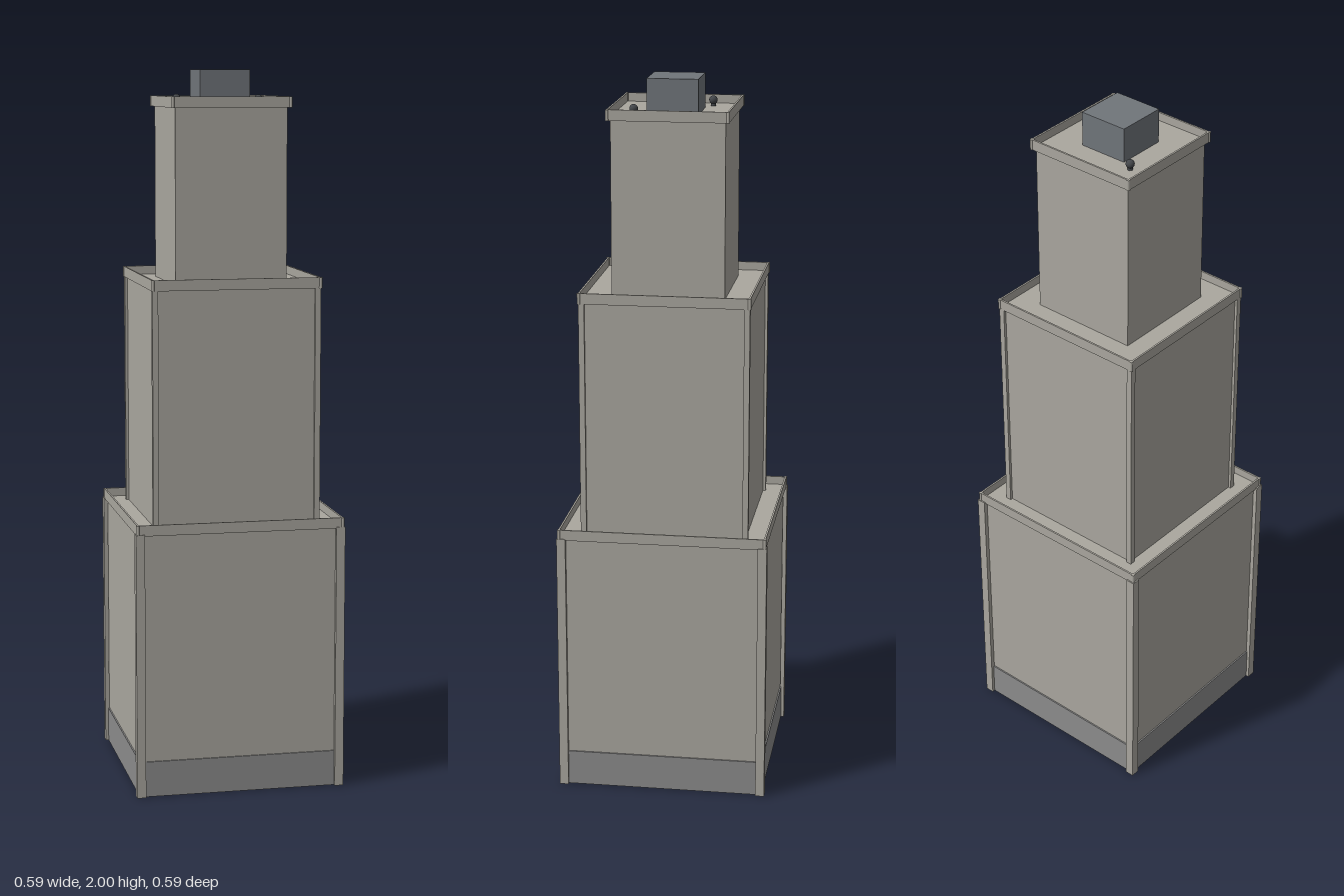
import * as THREE from 'three';

const paint = (color) => new THREE.MeshStandardMaterial({ color });

export function createModel() {
  const model = new THREE.Group();
  const stone = paint(0xaaa79f);
  const plinthGrey = paint(0x8c8c8c);
  const metal = paint(0x70757a);
  const dark = paint(0x45484c);

  function add(parent, name, geometry, material, x = 0, y = 0, z = 0) {
    const mesh = new THREE.Mesh(geometry, material);
    mesh.name = name;
    mesh.position.set(x, y, z);
    parent.add(mesh);
    return mesh;
  }

  // Box given by half-width and its bottom and top heights
  function block(parent, name, half, y0, y1, material) {
    return add(parent, name, new THREE.BoxGeometry(half * 2, y1 - y0, half * 2), material, 0, (y0 + y1) / 2, 0);
  }

  const corners = [[1, 1], [1, -1], [-1, -1], [-1, 1]];

  // L-shaped corner trim with its outer corner at the origin, extruded upward
  function cornerTrim(width, depth, height) {
    const shape = new THREE.Shape([
      [0, 0], [-width, 0], [-width, -depth], [-depth, -depth], [-depth, -width], [0, -width],
    ].map(([x, y]) => new THREE.Vector2(x, y)));
    const geometry = new THREE.ExtrudeGeometry(shape, { depth: height, bevelEnabled: false });
    return geometry.rotateX(-Math.PI / 2);
  }

  // Raised square rim: a ring with a small round post in each corner
  function parapet(parent, half, y0, height) {
    const square = (h) => [[-h, -h], [h, -h], [h, h], [-h, h]].map(([x, y]) => new THREE.Vector2(x, y));
    const shape = new THREE.Shape(square(half));
    shape.holes.push(new THREE.Path(square(half - 0.005)));
    const ring = new THREE.ExtrudeGeometry(shape, { depth: height, bevelEnabled: false });
    add(parent, 'parapet', ring.rotateX(-Math.PI / 2), stone, 0, y0, 0);
    for (const [sx, sz] of corners) {
      const c = half - 0.0025;
      add(parent, 'parapetCorner', new THREE.CylinderGeometry(0.005, 0.005, height, 12), stone,
        sx * c, y0 + height / 2, sz * c);
    }
  }

  // Stepped tiers, each with walls, roof slab, parapet and optional corner trim
  const tiers = [
    { name: 'lowerTier', y0: 0, y1: 0.74, body: 0.282, rim: 0.291, trim: 0.295, width: 0.025 },
    { name: 'middleTier', y0: 0.74, y1: 1.405, body: 0.228, rim: 0.237, trim: 0.236, width: 0.016 },
    { name: 'upperTier', y0: 1.405, y1: 1.897, body: 0.157, rim: 0.167 },
  ];
  for (const t of tiers) {
    const tier = new THREE.Group();
    tier.name = t.name;
    model.add(tier);
    block(tier, 'walls', t.body, t.y0, t.y1, stone);
    block(tier, 'roofSlab', t.rim - 0.004, t.y1, t.y1 + 0.006, stone);
    parapet(tier, t.rim, t.y1, 0.03);
    if (t.trim) {
      corners.forEach(([sx, sz], i) => {
        const post = add(tier, 'cornerTrim', cornerTrim(t.width, 0.012, t.y1 - t.y0 + 0.004), stone,
          sx * t.trim, t.y0, sz * t.trim);
        // The outer corner of the trim initially points to +x, -z
        post.rotation.y = [-1, 0, 1, 2][i] * Math.PI / 2;
      });
    }
  }

  // Plinth band around the foot
  block(model, 'plinth', 0.286, 0, 0.1, plinthGrey);

  // Rooftop housing and two small vents
  block(model, 'roofHousing', 0.071, 1.9, 2, metal);
  for (const [x, z] of [[-0.107, -0.089], [0.087, 0.104]]) {
    add(model, 'ventPipe', new THREE.CylinderGeometry(0.007, 0.007, 0.02, 12), dark, x, 1.91, z);
    add(model, 'ventCap', new THREE.SphereGeometry(0.012, 16, 10), dark, x, 1.92, z);
  }

  return model;
}
